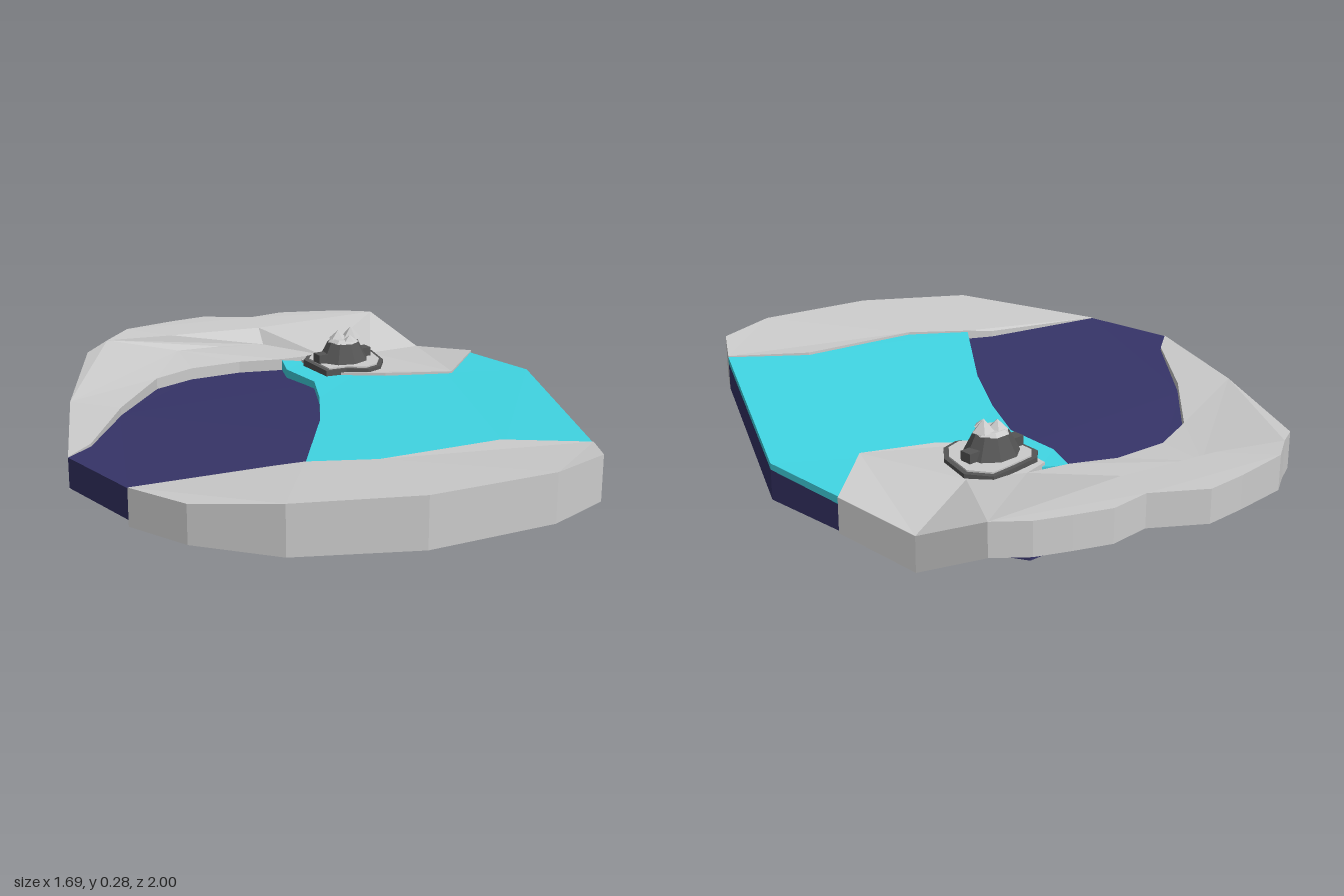
import * as THREE from 'three';

const material = (color) => new THREE.MeshStandardMaterial({ color, flatShading: true });
const stone = material(0xcccccc);
const darkStone = material(0x555555);
const deepWater = material(0x363468);
const shallowWater = material(0x40d6e4);

// Uneven slab: each outline point is [x, z, top, bottom]
function slab(name, mat, outline) {
  const flat = (pts) => pts.map(([x, z]) => new THREE.Vector2(x, z));
  const ring = THREE.ShapeUtils.isClockWise(flat(outline)) ? [...outline].reverse() : outline;
  const pos = [];
  const top = (p) => pos.push(p[0], p[2], p[1]);
  const bottom = (p) => pos.push(p[0], p[3], p[1]);
  for (const face of THREE.ShapeUtils.triangulateShape(flat(ring), [])) {
    let [a, b, c] = face.map((i) => ring[i]);
    const area = (b[0] - a[0]) * (c[1] - a[1]) - (c[0] - a[0]) * (b[1] - a[1]);
    if (area > 0) [b, c] = [c, b];
    [a, b, c].forEach(top);
    [a, c, b].forEach(bottom);
  }
  ring.forEach((a, i) => {
    const b = ring[(i + 1) % ring.length];
    top(a); top(b); bottom(b);
    top(a); bottom(b); bottom(a);
  });
  const geo = new THREE.BufferGeometry();
  geo.setAttribute('position', new THREE.Float32BufferAttribute(pos, 3));
  geo.computeVertexNormals();
  const mesh = new THREE.Mesh(geo, mat);
  mesh.name = name;
  return mesh;
}

function rock() {
  const group = new THREE.Group();
  group.name = 'rock';
  const add = (name, geo, mat, x, y, z) => {
    const mesh = new THREE.Mesh(geo, mat);
    mesh.name = name;
    mesh.position.set(x, y, z);
    group.add(mesh);
    return mesh;
  };
  // Irregular foot with a dark rim
  const foot = [[0.225, -0.27], [0.23, -0.43], [0.265, -0.465], [0.36, -0.475], [0.45, -0.48],
    [0.5, -0.41], [0.47, -0.29], [0.42, -0.23], [0.36, -0.215], [0.30, -0.26]];
  const cx = 0.36, cz = -0.35;
  const scaled = (s, t, b) => foot.map(([x, z]) => [cx + (x - cx) * s, cz + (z - cz) * s, t, b]);
  group.add(slab('rockFootRim', darkStone, scaled(1, 0.165, 0.12)));
  group.add(slab('rockFoot', stone, scaled(0.88, 0.17, 0.14)));
  // Boulder, shoulders and pale peaks
  const boulder = add('boulder', new THREE.CylinderGeometry(0.055, 0.092, 0.07, 9), darkStone, 0.345, 0.20, -0.355);
  boulder.scale.z = 0.9;
  add('shoulders', new THREE.BoxGeometry(0.21, 0.03, 0.04), darkStone, 0.345, 0.185, -0.36);
  add('boulderCap', new THREE.CylinderGeometry(0.042, 0.055, 0.012, 7), stone, 0.345, 0.24, -0.355);
  for (const [x, z, r, h] of [[0.375, -0.355, 0.035, 0.04], [0.33, -0.365, 0.032, 0.03], [0.35, -0.32, 0.025, 0.02]]) {
    add('peak', new THREE.ConeGeometry(r, h, 5), stone, x, 0.243 + h / 2, z);
  }
  return group;
}

export function createModel() {
  const model = new THREE.Group();
  model.name = 'island';

  // Deep water body under everything
  model.add(slab('deepWater', deepWater, [
    [-0.845, 0.03, 0.145, 0.05], [-0.80, 0.345, 0.145, 0.05], [-0.31, 0.485, 0.145, 0.045],
    [0.26, 0.66, 0.155, 0.055], [0.48, 0.805, 0.163, 0.072], [0.845, 0.04, 0.135, 0.04],
    [0.825, -0.26, 0.122, 0.04], [0.585, -0.77, 0.09, 0.06], [0.15, -0.78, 0.09, 0.06],
    [-0.2, -0.72, 0.10, 0.055], [-0.52, -0.33, 0.12, 0.045]]));

  // Shallow water sheet, one step above the deep part
  model.add(slab('shallowWater', shallowWater, [
    [0.2, -0.53, 0.142, 0.09], [0.155, -0.42, 0.143, 0.1], [0.155, -0.235, 0.148, 0.11],
    [0.07, -0.06, 0.153, 0.12], [-0.06, 0.155, 0.16, 0.125], [-0.31, 0.485, 0.17, 0.135],
    [-0.13, 0.62, 0.175, 0.14], [0.26, 0.67, 0.18, 0.145], [0.48, 0.805, 0.184, 0.163],
    [0.845, 0.04, 0.155, 0.135], [0.825, -0.26, 0.145, 0.122], [0.6, -0.1, 0.147, 0.12],
    [0.4, -0.3, 0.142, 0.11], [0.27, -0.48, 0.14, 0.09]]));

  // Front bank
  model.add(slab('frontBank', stone, [
    [-0.80, 0.345, 0.147, 0.03], [-0.39, 0.445, 0.165, 0.035], [-0.31, 0.485, 0.175, 0.035],
    [-0.13, 0.595, 0.183, 0.04], [0.26, 0.65, 0.188, 0.045], [0.48, 0.805, 0.188, 0.07],
    [0.40, 0.94, 0.205, 0.062], [0.19, 0.995, 0.21, 0.058], [-0.20, 0.94, 0.203, 0.045],
    [-0.54, 0.77, 0.19, 0.037], [-0.72, 0.55, 0.152, 0.032]]));

  // Low bank on the rear left
  model.add(slab('rearLeftBank', stone, [
    [-0.845, 0.03, 0.147, 0.045], [-0.74, -0.045, 0.147, 0.035], [-0.52, -0.315, 0.147, 0.035],
    [-0.28, -0.55, 0.145, 0.035], [-0.12, -0.605, 0.142, 0.035], [0.06, -0.59, 0.142, 0.035],
    [0.2, -0.53, 0.146, 0.035], [0.34, -0.5, 0.15, 0.04], [0.23, -0.72, 0.15, 0.06],
    [0.08, -0.77, 0.152, 0.06], [-0.08, -0.79, 0.155, 0.06], [-0.3, -0.915, 0.195, 0.075],
    [-0.4, -0.86, 0.178, 0.06], [-0.65, -0.42, 0.16, 0.05]]));

  // Steep step between the low bank and the high rim
  model.add(slab('rimStep', stone, [
    [-0.3, -0.915, 0.195, 0.075], [-0.08, -0.84, 0.2, 0.08], [0.24, -0.77, 0.2, 0.08],
    [0.34, -0.5, 0.15, 0.04], [0.23, -0.72, 0.15, 0.06], [0.08, -0.77, 0.152, 0.06],
    [-0.08, -0.79, 0.155, 0.06]]));

  // High rim at the back
  model.add(slab('backRim', stone, [
    [-0.3, -0.915, 0.195, 0.075], [-0.08, -0.84, 0.2, 0.08], [0.24, -0.77, 0.2, 0.08],
    [0.34, -0.5, 0.15, 0.04], [0.5, -0.42, 0.152, 0.05], [0.71, -0.74, 0.205, 0.1],
    [0.62, -0.815, 0.205, 0.1], [0.52, -0.86, 0.205, 0.1], [0.41, -0.905, 0.205, 0.1],
    [0.28, -0.9, 0.205, 0.1], [0.13, -1, 0.205, 0.1], [0, -1, 0.205, 0.1],
    [-0.19, -0.985, 0.205, 0.095]]));

  // Bank around the rock, dipping at the right edge
  model.add(slab('rightBank', stone, [
    [0.34, -0.5, 0.15, 0.04], [0.25, -0.48, 0.15, 0.06], [0.23, -0.3, 0.152, 0.08],
    [0.40, -0.17, 0.157, 0.1], [0.61, -0.075, 0.155, 0.1], [0.835, -0.265, 0.15, 0.04],
    [0.78, -0.53, 0.11, 0], [0.71, -0.74, 0.205, 0.1], [0.5, -0.42, 0.152, 0.05]]));

  model.add(rock());
  return model;
}
